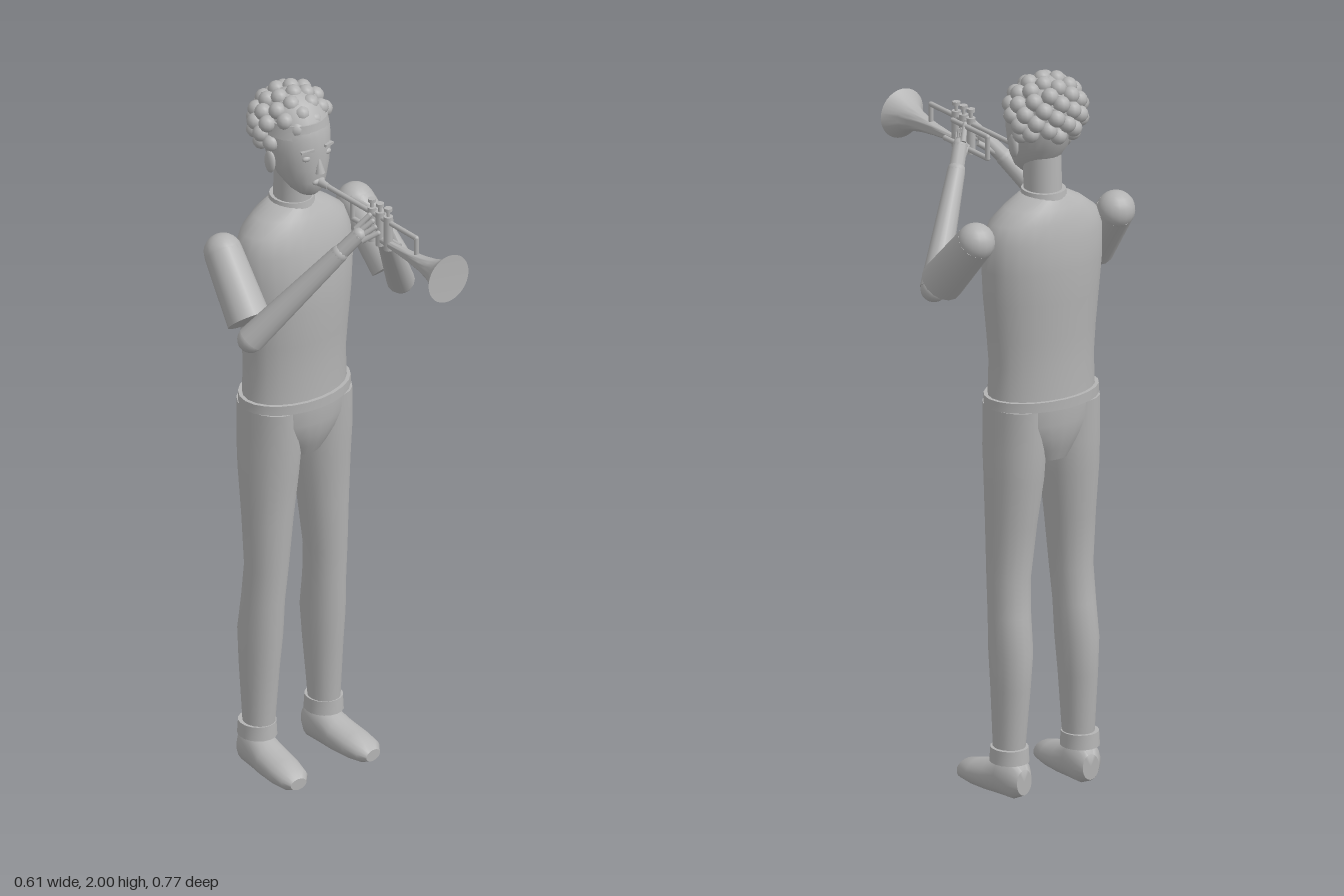
import * as THREE from 'three';
import { toCreasedNormals } from 'three/addons/utils/BufferGeometryUtils.js';

const clay = new THREE.MeshStandardMaterial({ color: 0xb3b3b3 });
clay.name = 'clay grey';
const V = (p) => new THREE.Vector3(...p);

function add(parent, name, geo, pos = [0, 0, 0]) {
  const m = new THREE.Mesh(geo, clay);
  m.name = name;
  m.position.set(...pos);
  parent.add(m);
  return m;
}

// Elliptical cross-sections, top to bottom: [y, rx, rz, cz, cx]
function loft(sections, seg = 24) {
  const n = sections.length - 1;
  const g = new THREE.CylinderGeometry(1, 1, 1, seg, n);
  const p = g.attributes.position;
  for (let i = 0; i < p.count; i++) {
    const [y, rx, rz, cz, cx = 0] = sections[Math.round((0.5 - p.getY(i)) * n)];
    p.setXYZ(i, cx + p.getX(i) * rx, y, cz + p.getZ(i) * rz);
  }
  return toCreasedNormals(g, 0.8);
}

// Tapered rod from a to b
function rod(parent, name, a, b, ra, rb, seg = 14) {
  const d = V(b).sub(V(a));
  const m = add(parent, name, new THREE.CylinderGeometry(rb, ra, d.length(), seg));
  m.position.copy(V(a)).addScaledVector(d, 0.5);
  m.quaternion.setFromUnitVectors(new THREE.Vector3(0, 1, 0), d.normalize());
  return m;
}

const ball = (parent, name, pos, r, seg = 16) =>
  add(parent, name, new THREE.SphereGeometry(r, seg, Math.ceil(seg * 0.75)), pos);

function pipe(parent, name, pts, r) {
  const path = new THREE.CurvePath();
  for (let i = 1; i < pts.length; i++) path.add(new THREE.LineCurve3(V(pts[i - 1]), V(pts[i])));
  for (let i = 1; i < pts.length; i++) {
    rod(parent, name, pts[i - 1], pts[i], r, r, 10);
    if (i < pts.length - 1) ball(parent, name + 'Bend', pts[i], r, 10);
  }
}

function makeBody() {
  const g = new THREE.Group();
  g.name = 'body';
  add(g, 'torso', loft([
    [1.665, 0.06, 0.06, -0.265], [1.635, 0.115, 0.078, -0.265], [1.6, 0.16, 0.092, -0.262],
    [1.55, 0.178, 0.106, -0.26], [1.47, 0.178, 0.114, -0.256], [1.38, 0.17, 0.113, -0.253],
    [1.28, 0.16, 0.107, -0.253], [1.2, 0.154, 0.103, -0.254], [1.09, 0.157, 0.106, -0.254]]));
  add(g, 'collar', loft([[1.675, 0.058, 0.062, -0.265], [1.64, 0.066, 0.068, -0.265]]));
  add(g, 'neck', loft([[1.77, 0.05, 0.052, -0.258], [1.66, 0.05, 0.055, -0.262]]));
  add(g, 'belt', loft([[1.112, 0.167, 0.116, -0.254], [1.085, 0.167, 0.116, -0.254]]));
  add(g, 'pelvis', loft([
    [1.09, 0.16, 0.112, -0.252], [1.04, 0.152, 0.111, -0.252], [1.0, 0.125, 0.104, -0.253],
    [0.965, 0.095, 0.092, -0.254], [0.932, 0.07, 0.076, -0.256]]));
  return g;
}

function makeLeg(side) {
  const g = new THREE.Group();
  g.name = side > 0 ? 'leftLeg' : 'rightLeg';
  add(g, 'trouserLeg', loft([
    [1.085, 0.075, 0.098, -0.254, 0.088], [0.97, 0.081, 0.095, -0.254, 0.086],
    [0.88, 0.078, 0.087, -0.255, 0.088], [0.75, 0.068, 0.073, -0.251, 0.094],
    [0.6, 0.058, 0.062, -0.248, 0.1], [0.5, 0.056, 0.062, -0.257, 0.104],
    [0.4, 0.056, 0.068, -0.266, 0.106], [0.3, 0.051, 0.06, -0.268, 0.108],
    [0.12, 0.042, 0.045, -0.266, 0.111]].map(([a, b, c, d, x]) => [a, b, c, d, x * side]), 18));
  add(g, 'ankleCuff', loft([[0.135, 0.05, 0.053, -0.27, 0.113 * side], [0.095, 0.052, 0.056, -0.27, 0.113 * side]], 18));

  // Shoe: sections run from toe to heel, then the sole is flattened
  const shoe = loft([
    [0.185, 0.025, 0.016, -0.026], [0.165, 0.042, 0.029, -0.031], [0.12, 0.05, 0.037, -0.035],
    [0.06, 0.051, 0.045, -0.042], [0.01, 0.046, 0.057, -0.053], [-0.04, 0.044, 0.058, -0.056],
    [-0.065, 0.025, 0.036, -0.052]], 18);
  shoe.rotateX(Math.PI / 2);
  const p = shoe.attributes.position;
  for (let i = 0; i < p.count; i++) p.setY(i, Math.max(p.getY(i), 0.004) - 0.004);
  add(g, 'shoe', toCreasedNormals(shoe, 0.8), [0.112 * side, 0, -0.265]).rotation.y = 0.08 * side;
  return g;
}

function makeArm(side, x0, elbow, wrist, knuckle) {
  const g = new THREE.Group();
  g.name = side > 0 ? 'leftArm' : 'rightArm';
  const shoulder = [x0 + side * 0.225, 1.57, -0.275];
  const cuff = [x0 + side * 0.243, 1.425, -0.145];
  ball(g, 'shoulder', shoulder, 0.052);
  rod(g, 'upperArm', shoulder, cuff, 0.052, 0.059, 16);
  ball(g, 'elbow', elbow, 0.036);
  rod(g, 'forearm', elbow, wrist, 0.038, 0.024);
  ball(g, 'wrist', wrist, 0.024);
  // Hand with fingers reaching for the valves
  rod(g, 'palm', wrist, knuckle, 0.021, 0.02, 10);
  ball(g, 'knuckles', knuckle, 0.02, 10);
  for (let i = 0; i < 4; i++) {
    const t = i - 1.5;
    const a = [knuckle[0], knuckle[1] - t * 0.008, knuckle[2] + t * 0.009];
    const b = [0.012 + side * 0.014, 1.735 - t * 0.013, 0.092 + t * 0.012];
    rod(g, 'finger', a, b, 0.0085, 0.007, 8);
    ball(g, 'fingertip', b, 0.007, 8);
  }
  rod(g, 'thumb', wrist, [0.012 + side * 0.016, 1.7, 0.06], 0.011, 0.008, 8);
  return g;
}

function makeHead() {
  const g = new THREE.Group();
  g.name = 'head';
  add(g, 'skull', loft([
    [1.985, 0.02, 0.02, -0.265], [1.965, 0.06, 0.068, -0.264], [1.93, 0.08, 0.09, -0.258],
    [1.89, 0.088, 0.099, -0.251], [1.84, 0.086, 0.098, -0.246], [1.795, 0.076, 0.09, -0.238],
    [1.755, 0.06, 0.074, -0.224], [1.725, 0.042, 0.052, -0.208], [1.71, 0.025, 0.032, -0.203]]));
  add(g, 'hairline', loft([[1.925, 0.088, 0.1, -0.262], [1.885, 0.093, 0.104, -0.258]]));

  // Nose and lips
  const nose = add(g, 'nose', new THREE.ConeGeometry(0.014, 0.055, 8), [0, 1.812, -0.15]);
  nose.rotation.x = -0.12;
  const lips = ball(g, 'lips', [0, 1.757, -0.152], 0.014, 10);
  lips.scale.set(1.5, 0.7, 0.6);
  for (const s of [-1, 1]) {
    ball(g, 'eye', [s * 0.034, 1.832, -0.161], 0.011, 10).scale.set(1.3, 0.8, 0.8);
    const brow = add(g, 'eyebrow', new THREE.BoxGeometry(0.036, 0.007, 0.012), [s * 0.035, 1.855, -0.156]);
    brow.rotation.set(0, s * 0.3, -s * 0.12);
    const ear = ball(g, 'ear', [s * 0.086, 1.805, -0.25], 0.03, 12);
    ear.scale.set(0.35, 1.1, 0.65);
  }

  // Curls spread evenly over the crown, leaving the face open
  const hair = new THREE.Group();
  hair.name = 'hair';
  const count = 66;
  for (let i = 0; i < count; i++) {
    const v = 1 - (2 * (i + 0.5)) / count, a = i * 2.39996, r = Math.sqrt(1 - v * v);
    const x = r * Math.sin(a) * 0.098, y = v * 0.085, z = r * Math.cos(a) * 0.09;
    const limit = z > 0.03 ? 0.012 : -0.058;
    if (y > limit) ball(hair, 'curl', [x, 1.893 + y, -0.274 + z], 0.0235, 10);
  }
  g.add(hair);
  return g;
}

function makeTrumpet() {
  const g = new THREE.Group();
  g.name = 'trumpet';
  const hi = 1.755, lo = 1.69;
  // Closed flaring bell
  const profile = [[0, 0.1], [0.009, 0.1], [0.011, 0.165], [0.016, 0.23], [0.022, 0.28], [0.03, 0.32],
    [0.04, 0.35], [0.068, 0.386], [0, 0.384]].map(([r, z]) => new THREE.Vector2(r, z));
  const bell = new THREE.LatheGeometry(profile, 32);
  bell.rotateX(Math.PI / 2);
  add(g, 'bell', toCreasedNormals(bell, 0.8), [0, lo, 0]);
  rod(g, 'mouthpiece', [0, hi, -0.15], [0, hi, -0.115], 0.012, 0.008, 12);
  pipe(g, 'leadPipe', [[0, hi, -0.13], [0, hi, 0.252], [0, lo, 0.252], [0, lo, 0.1]], 0.007);
  pipe(g, 'rearLoop', [[0.016, hi - 0.005, 0.13], [0.016, hi - 0.005, -0.033], [0.016, lo, -0.033], [0.016, lo, 0.165]], 0.007);
  for (const z of [0.067, 0.101, 0.135]) {
    rod(g, 'valve', [0, 1.672, z], [0, 1.772, z], 0.0125, 0.0125, 12);
    rod(g, 'valveStem', [0, 1.772, z], [0, 1.79, z], 0.005, 0.005, 8);
    rod(g, 'valveButton', [0, 1.788, z], [0, 1.797, z], 0.011, 0.011, 12);
  }
  return g;
}

export function createModel() {
  const model = new THREE.Group();
  model.name = 'trumpetPlayer';
  const figure = new THREE.Group();
  figure.name = 'figure';
  figure.position.x = 0.01;
  figure.add(makeBody(), makeHead(), makeLeg(1), makeLeg(-1));
  const trumpet = makeTrumpet();
  trumpet.position.x = 0.012;
  model.add(figure, trumpet,
    makeArm(-1, 0.01, [-0.26, 1.395, -0.105], [-0.078, 1.65, 0.04], [-0.035, 1.705, 0.07]),
    makeArm(1, 0.01, [0.254, 1.395, -0.11], [0.085, 1.65, 0.03], [0.052, 1.705, 0.06]));
  return model;
}
